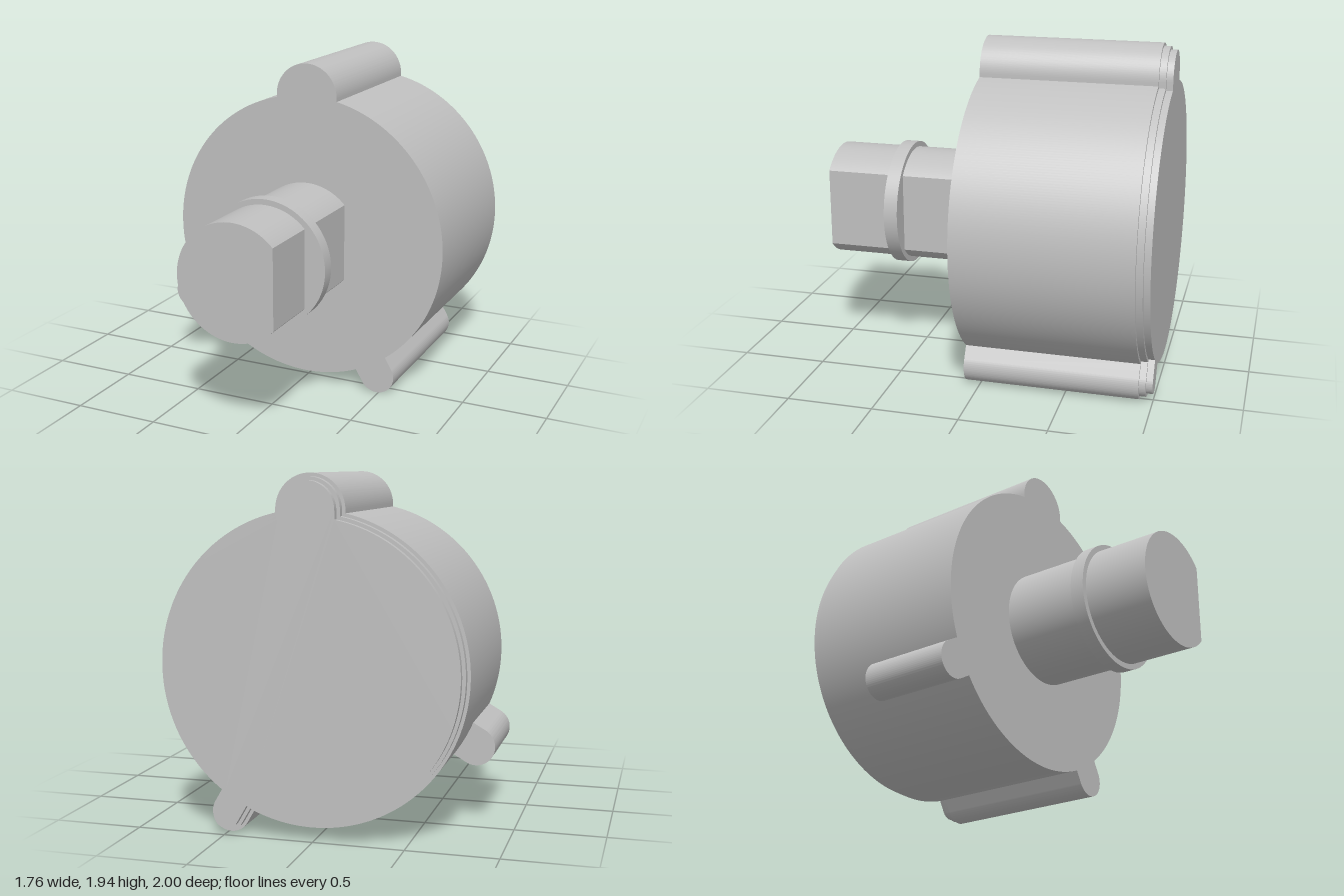
import * as THREE from 'three';
import { toCreasedNormals } from 'three/addons/utils/BufferGeometryUtils.js';

const R = 0.85; // drum radius
const topLobe = { angle: Math.PI / 2, dist: 0.845, r: 0.19 };
const rightLug = { angle: -Math.PI / 3, dist: 0.924, r: 0.107 };
const leftLug = { angle: -Math.PI * 5 / 6, dist: 0.924, r: 0.107 };

// rounded end of a lobe, drawn counter-clockwise
function lobeArc(shape, { angle, dist, r }, inset) {
  shape.absarc(Math.cos(angle) * dist, Math.sin(angle) * dist, r - inset,
    angle - Math.PI / 2, angle + Math.PI / 2, false);
}

// half the angle a lobe takes up on the drum's circle
const spread = (lobe, inset) => Math.asin((lobe.r - inset) / (R - inset));

// drum outline with its two full-length lobes, shrunk by inset
function drumShape(inset) {
  const s = new THREE.Shape();
  const a = spread(rightLug, inset), b = spread(topLobe, inset);
  lobeArc(s, rightLug, inset);
  s.absarc(0, 0, R - inset, rightLug.angle + a, topLobe.angle - b, false);
  lobeArc(s, topLobe, inset);
  s.absarc(0, 0, R - inset, topLobe.angle + b, rightLug.angle - a + Math.PI * 2, false);
  return s;
}

// short lug that meets the drum's circle
function lugShape(lug) {
  const s = new THREE.Shape();
  const a = spread(lug, 0);
  lobeArc(s, lug, 0);
  s.absarc(0, 0, R, lug.angle + a, lug.angle - a, true);
  return s;
}

// round shaft with a flat on the +x side
function shaftShape(r, flat) {
  const a = Math.acos(flat / r);
  const s = new THREE.Shape();
  s.absarc(0, 0, r, a, Math.PI * 2 - a, false);
  s.closePath();
  return s;
}

function discShape(r) {
  const s = new THREE.Shape();
  s.absarc(0, 0, r, 0, Math.PI * 2, false);
  return s;
}

export function createModel() {
  const group = new THREE.Group();
  group.name = 'knob';
  const grey = new THREE.MeshStandardMaterial({ color: 0xc0c0c0 });
  grey.name = 'grey';

  // extrude a shape between two z values, about the common axis
  function add(name, shape, z0, z1) {
    const geo = new THREE.ExtrudeGeometry(shape, { depth: z1 - z0, bevelEnabled: false, curveSegments: 64 });
    const mesh = new THREE.Mesh(toCreasedNormals(geo, 0.5), grey);
    mesh.name = name;
    mesh.position.set(0.025, 0.91, z0);
    group.add(mesh);
  }

  // drum with stepped back edge
  add('drum', drumShape(0), -0.925, 0.085);
  add('backStepOuter', drumShape(0.018), -0.963, -0.925);
  add('backStepInner', drumShape(0.037), -1, -0.963);
  add('shortLug', lugShape(leftLug), -0.46, 0.085);

  // shaft and collar
  add('shaft', shaftShape(0.335, 0.245), 0.085, 1);
  add('collar', discShape(0.367), 0.54, 0.62);

  return group;
}
